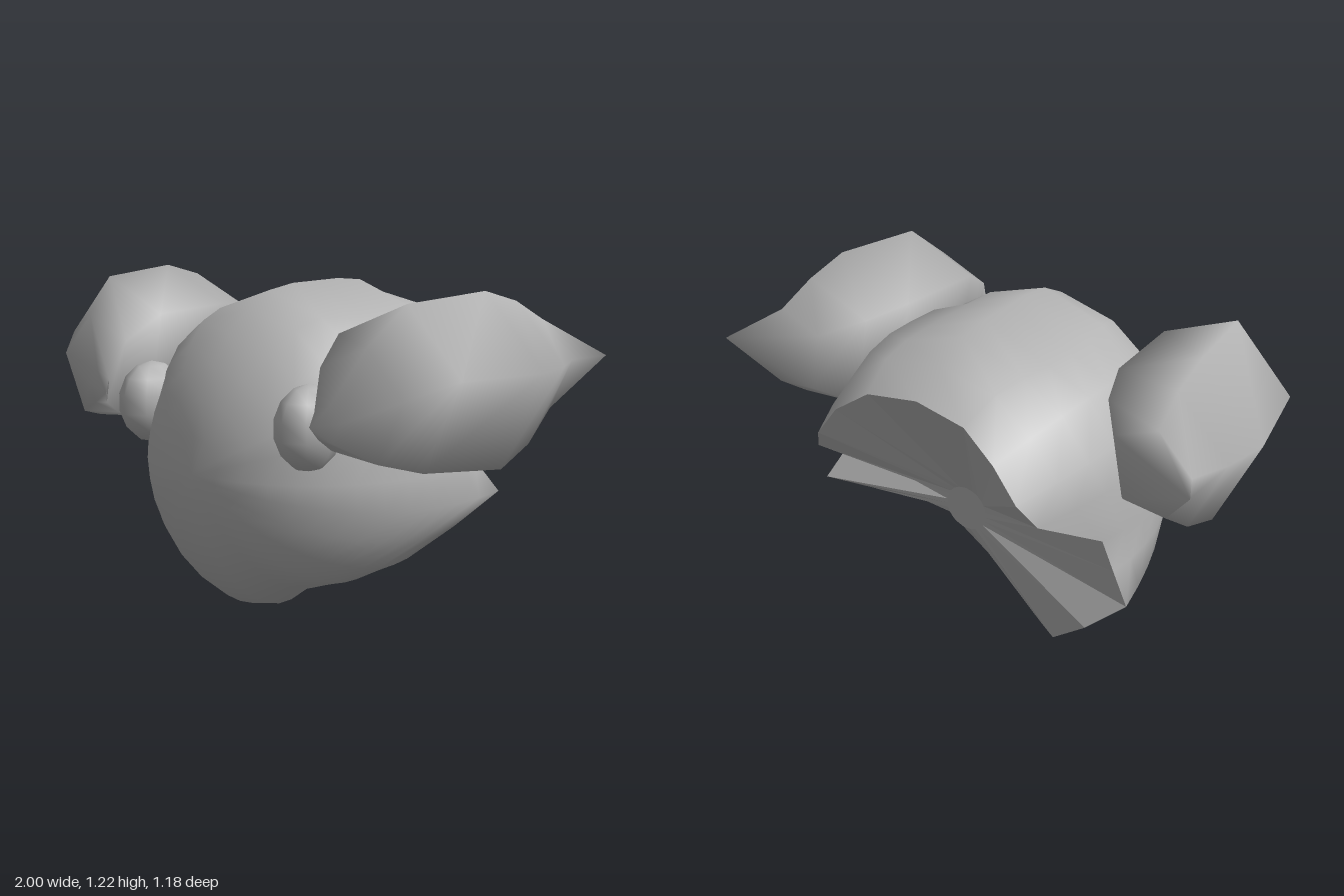
import * as THREE from 'three';
import { mergeVertices } from 'three/addons/utils/BufferGeometryUtils.js';

const clay = new THREE.MeshStandardMaterial({ color: 0xb4b4b4 });
clay.name = 'clay grey';

// Skin closed rings of points, ordered front to back and clockwise from the front
function loft(rings, flat) {
  const n = rings[0].length, idx = [];
  for (let i = 0; i < rings.length - 1; i++) {
    for (let j = 0; j < n; j++) {
      const a = i * n + j, b = i * n + (j + 1) % n, c = a + n, d = b + n;
      idx.push(a, b, c, b, d, c);
    }
  }
  let g = new THREE.BufferGeometry();
  g.setAttribute('position', new THREE.Float32BufferAttribute(rings.flat().flatMap(p => [p.x, p.y, p.z]), 3));
  g.setIndex(idx);
  g = flat ? g.toNonIndexed() : mergeVertices(g, 1e-4);
  g.computeVertexNormals();
  return g;
}

function part(name, geometry) {
  const m = new THREE.Mesh(geometry, clay);
  m.name = name;
  return m;
}

const V = (x, y, z) => new THREE.Vector3(x, y, z);

// Ragged opening at the back of the body, clockwise from the top
const rim = [
  [0, 1.08, -0.56], [0.2, 1.05, -0.57], [0.33, 0.96, -0.59], [0.42, 0.84, -0.59], [0.47, 0.75, -0.54],
  [0.56, 0.6, -0.28], [0.61, 0.48, -0.36], [0.54, 0.37, -0.19], [0.46, 0.27, -0.02], [0.36, 0.21, 0.14],
  [0.24, 0.18, 0.27], [0.07, 0.1, 0.1], [-0.1, 0.04, -0.05], [-0.25, 0.05, -0.18], [-0.36, 0.09, -0.27],
  [-0.5, 0.2, -0.28], [-0.63, 0.31, -0.22], [-0.59, 0.46, -0.25], [-0.56, 0.59, -0.28], [-0.47, 0.75, -0.54],
  [-0.42, 0.84, -0.59], [-0.33, 0.96, -0.59], [-0.2, 1.05, -0.57],
].map(p => V(...p));

// Body: arcs over an ellipsoid from the front pole to each rim point, under a shallow roof line
function bodyGeometry() {
  const centre = V(0, 0.61, 0), radii = V(0.58, 0.63, 0.59), front = V(0, 0, 1), steps = 12, rings = [];
  for (let i = 0; i <= steps; i++) {
    const t = i / steps;
    rings.push(rim.map(r => {
      const u = r.clone().sub(centre).divide(radii), len = u.length();
      u.normalize();
      const angle = front.angleTo(u);
      const axis = front.clone().cross(u).normalize();
      const p = front.clone().applyAxisAngle(axis, angle * t)
        .multiplyScalar(1 + (len - 1) * t ** 5).multiply(radii).add(centre);
      p.y = THREE.MathUtils.clamp(p.y, 0, 1.225 - 0.4 * Math.abs(p.x));
      return p;
    }));
  }
  return loft(rings);
}

// Faceted fan running in from the rim to a small flat hub
function fanGeometry() {
  const hub = V(0, 0.53, -0.3);
  const ring = rim.map(r => {
    const d = V(r.x, r.y - hub.y, 0).normalize().multiplyScalar(0.085);
    return hub.clone().add(d);
  });
  return loft([rim, ring, rim.map(() => hub.clone())], true);
}

// Side fin: a five-sided section, blunt in front and drawn to a point behind
const section = [[0.03, 0.31], [0.27, 0.06], [0.11, -0.28], [-0.2, -0.25], [-0.28, 0.18]];
const stations = [ // z, scale, centre x, centre y
  [0.54, 0, 0.49, 0.83], [0.52, 0.2, 0.55, 0.84], [0.46, 0.62, 0.64, 0.9], [0.32, 0.91, 0.68, 0.94],
  [-0.03, 1, 0.73, 0.93], [-0.2, 0.82, 0.745, 0.94], [-0.34, 0.52, 0.77, 0.96], [-0.46, 0, 0.97, 1],
];
function finGeometry(side) {
  return loft(stations.map(([z, s, cx, cy]) => {
    const ring = section.map(([x, y]) => V(side * (cx + x * s), cy + y * s, z));
    return side < 0 ? ring.reverse() : ring;
  }));
}

export function createModel() {
  const model = new THREE.Group();
  model.name = 'creature';
  model.add(part('body', bodyGeometry()), part('backFan', fanGeometry()));
  for (const [side, label] of [[1, 'left'], [-1, 'right']]) {
    model.add(part(label + 'Fin', finGeometry(side)));
    // Eye knob at the front tip of the fin
    const eye = part(label + 'Eye', new THREE.SphereGeometry(1, 8, 7));
    eye.scale.set(0.105, 0.148, 0.138);
    eye.position.set(side * 0.38, 0.797, 0.415);
    model.add(eye);
  }
  return model;
}
